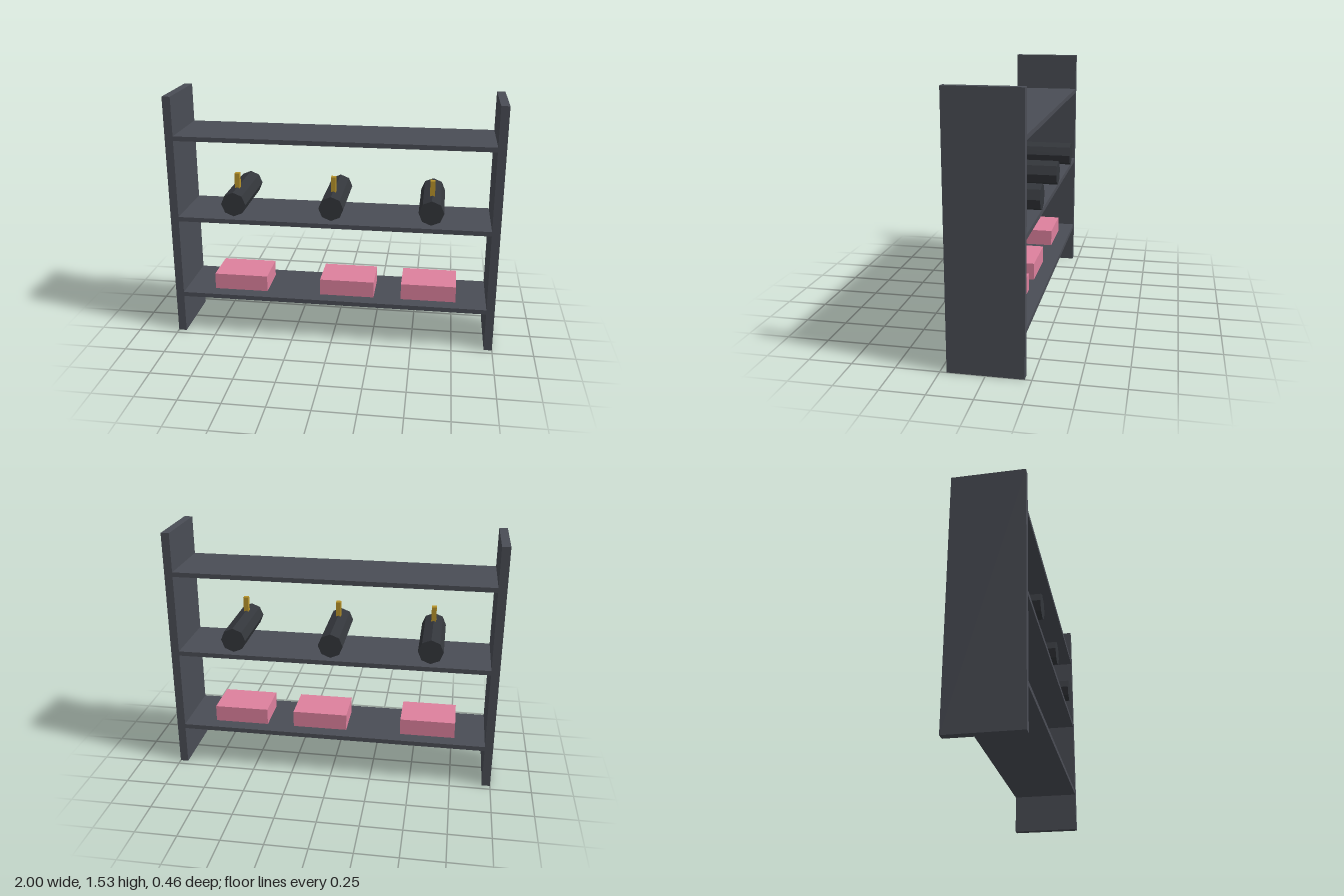
import * as THREE from 'three';

const steel = new THREE.MeshStandardMaterial({ color: 0x4a4d55 });
const dark = new THREE.MeshStandardMaterial({ color: 0x33363b, flatShading: true });
const brass = new THREE.MeshStandardMaterial({ color: 0xb8942a });
const pink = new THREE.MeshStandardMaterial({ color: 0xdd809d });

export function createModel() {
  const rack = new THREE.Group();
  rack.name = 'storageRack';

  const add = (name, geometry, material, x, y, z) => {
    const mesh = new THREE.Mesh(geometry, material);
    mesh.name = name;
    mesh.position.set(x, y, z);
    rack.add(mesh);
  };

  // Upright end panels
  const height = 1.527, depth = 0.424;
  const panel = new THREE.BoxGeometry(0.05, height, depth);
  add('leftPanel', panel, steel, 0.975, height / 2, 0);
  add('rightPanel', panel, steel, -0.975, height / 2, 0);

  // Three shelves between the panels
  const shelf = new THREE.BoxGeometry(1.9, 0.028, depth);
  ['lowerShelf', 'middleShelf', 'upperShelf'].forEach((name, i) =>
    add(name, shelf, steel, 0, 0.258 + i * 0.509, 0));

  // Eight-sided tanks lying front to back, each with a valve on top near the front
  const tank = new THREE.CylinderGeometry(0.075, 0.075, 0.462, 8).rotateX(Math.PI / 2);
  const valve = new THREE.BoxGeometry(0.03, 0.102, 0.034);
  for (const x of [-0.594, 0, 0.594]) {
    add('tank', tank, dark, x, 0.885, 0);
    add('valve', valve, brass, x, 0.997, 0.105);
  }

  // Boxes resting on the lower shelf
  const box = new THREE.BoxGeometry(0.339, 0.102, 0.254);
  for (const x of [-0.594, 0.085, 0.594]) add('storageBox', box, pink, x, 0.323, 0);

  return rack;
}
